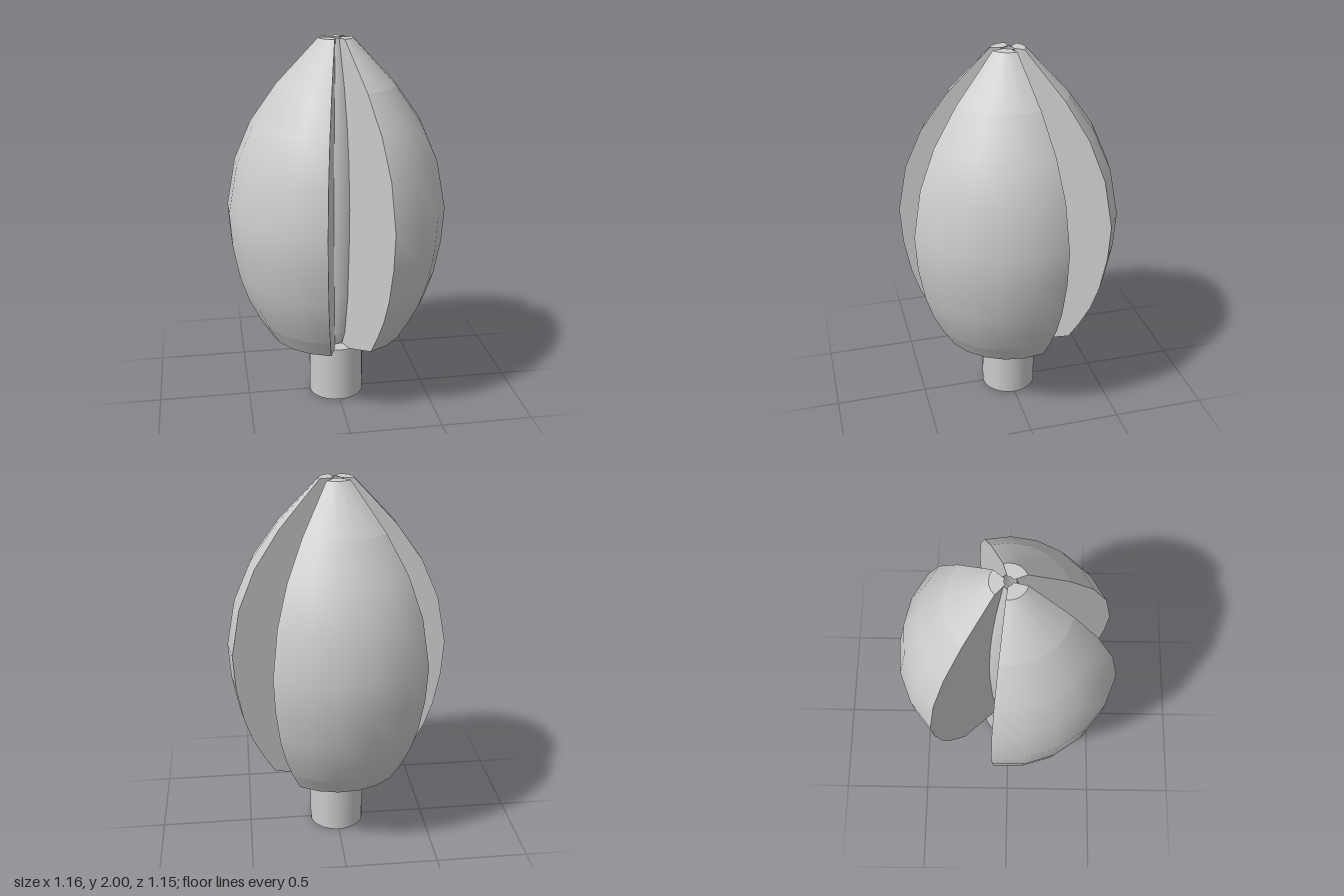
import * as THREE from 'three';

const material = new THREE.MeshStandardMaterial({ color: 0xcccccc, side: THREE.DoubleSide });
const rad = THREE.MathUtils.degToRad;

// Outer profile of a segment (radius, height), from the stem up to the tip
const outer = [
  [0.15, 0.31], [0.37, 0.39], [0.43, 0.49], [0.49, 0.61], [0.535, 0.745], [0.57, 0.93],
  [0.582, 1.12], [0.535, 1.37], [0.445, 1.575], [0.31, 1.765], [0.09, 2],
].map(([r, y]) => new THREE.Vector2(r, y));

// Slim core seen in the gaps between the segments
const core = [
  [0.07, 0.31], [0.1, 0.39], [0.13, 0.61], [0.143, 0.93], [0.146, 1.12],
  [0.135, 1.37], [0.115, 1.575], [0.085, 1.765], [0.035, 2],
].map(([r, y]) => new THREE.Vector2(r, y));

const tip = new THREE.Vector2(0.022, 2);

function addLathe(parent, name, points, sides, start = 0, sweep = Math.PI * 2) {
  const mesh = new THREE.Mesh(new THREE.LatheGeometry(points, sides, start, sweep), material);
  mesh.name = name;
  parent.add(mesh);
}

// One wedge-shaped segment: creased bands of skin closed by two flat sides
function makeSegment(startDeg, sweepDeg) {
  const segment = new THREE.Group();
  const start = rad(startDeg), sweep = rad(sweepDeg);
  const bands = {
    underside: outer.slice(0, 2),
    lowerBand: outer.slice(1, 3),
    body: outer.slice(2, 10),
    shoulder: outer.slice(9),
    tipFace: [outer[10], tip],
  };
  for (const [name, points] of Object.entries(bands)) {
    addLathe(segment, name, points, 5, start, sweep);
  }
  const section = new THREE.Shape([...outer, tip, ...[...core].reverse()]);
  for (const angle of [start, start + sweep]) {
    const side = new THREE.Mesh(new THREE.ShapeGeometry(section), material);
    side.name = 'segmentSide';
    side.rotation.y = angle - Math.PI / 2;
    segment.add(side);
  }
  return segment;
}

export function createModel() {
  const model = new THREE.Group();

  // Open tubular stem with a flat shoulder reaching in to the core
  const stemTop = outer[0];
  addLathe(model, 'stem', [new THREE.Vector2(stemTop.x, 0), stemTop], 32);
  addLathe(model, 'stemShoulder', [stemTop, core[0]], 32);
  addLathe(model, 'core', core.slice(0, 8), 32);
  addLathe(model, 'coreTip', core.slice(7), 32);

  // Three segments around the core
  for (let i = 0; i < 3; i++) {
    const segment = makeSegment(21.3 + i * 120.4, 85.4);
    segment.name = 'segment' + (i + 1);
    model.add(segment);
  }
  return model;
}
